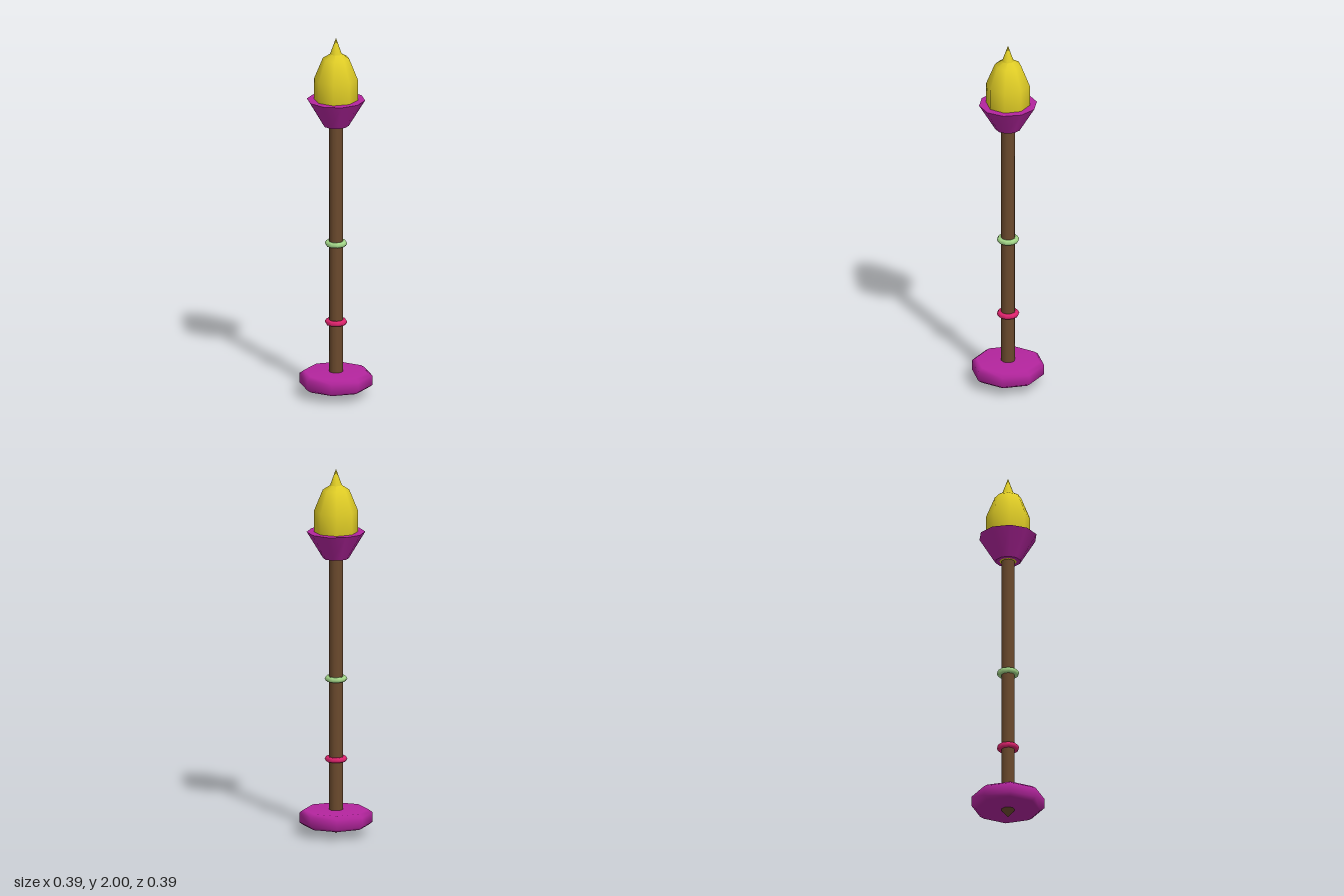
import * as THREE from 'three';

const mat = (name, color) => {
  const m = new THREE.MeshStandardMaterial({ color });
  m.name = name;
  return m;
};

export function createModel() {
  const group = new THREE.Group();
  const purple = mat('purple', 0xb4259e);
  const yellow = mat('yellow', 0xe0cd26);
  const brown = mat('brown', 0x6b4a2d);
  const green = mat('light green', 0xa5d98a);
  const pink = mat('pink', 0xe0246e);

  const add = (name, geometry, material, y = 0) => {
    const mesh = new THREE.Mesh(geometry, material);
    mesh.name = name;
    mesh.position.y = y;
    group.add(mesh);
    return mesh;
  };
  const lathe = (points, sides) =>
    new THREE.LatheGeometry(points.map(([r, y]) => new THREE.Vector2(r, y)), sides);
  // Turn so that corners lie on the x axis
  const turned = (geometry) => geometry.rotateY(Math.PI / 2);

  // Shaft with a pointed foot
  add('shaft', turned(new THREE.CylinderGeometry(0.037, 0.037, 1.47, 10)), brown, 0.78);
  add('footPoint', turned(new THREE.ConeGeometry(0.037, 0.045, 10).rotateX(Math.PI)), brown, 0.0225);

  // Bevelled octagonal disc
  add('baseDisc', lathe([
    [0, 0.045], [0.172, 0.045], [0.196, 0.062],
    [0.196, 0.115], [0.172, 0.132], [0, 0.132],
  ], 8), purple);

  // Thin rings around the shaft
  for (const [name, y, material] of [['lowerRing', 0.41, pink], ['upperRing', 0.85, green]]) {
    add(name, new THREE.TorusGeometry(0.046, 0.015, 6, 10).rotateX(Math.PI / 2), material, y);
  }

  // Flared cup
  add('cup', turned(new THREE.CylinderGeometry(0.157, 0.069, 0.145, 10)), purple, 1.5825);

  // Bulb and its tip
  add('bulb', lathe([
    [0, 1.505], [0.045, 1.508], [0.072, 1.53], [0.118, 1.626],
    [0.118, 1.77], [0.071, 1.886], [0, 1.93],
  ], 8), yellow);
  add('bulbTip', new THREE.ConeGeometry(0.032, 0.09, 8), yellow, 1.955);

  return group;
}
